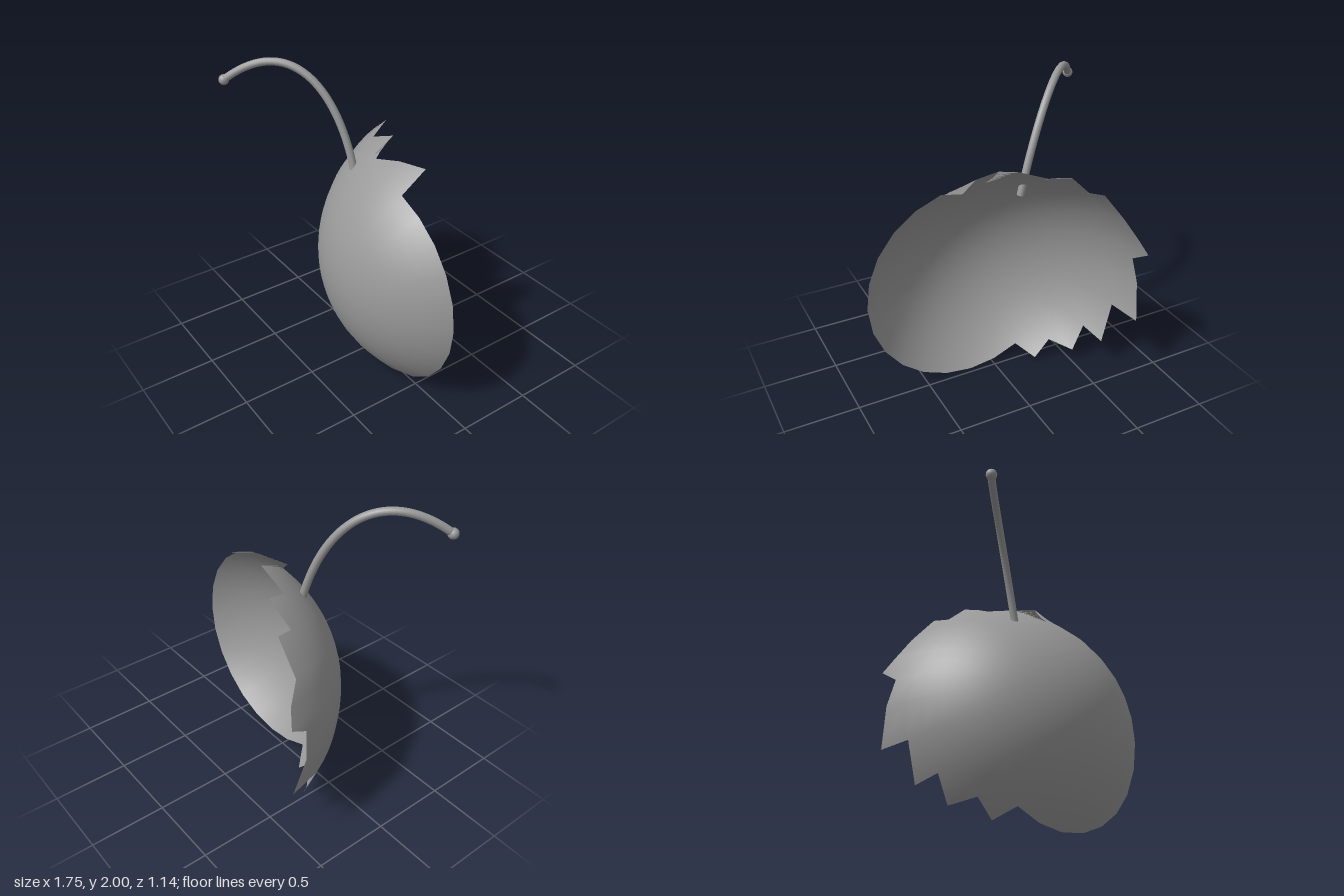
import * as THREE from 'three';

const CX = 0.17, CY = 0.71; // axis of the dome, running along z
const RIM = 0.705, RIM_Z = 0.035;
const BOW = 1.14, REACH = 1.01; // half axes of the dome's curve

// Depth of the dome at distance r from its axis
const domeZ = r => 0.36 - BOW * (1 - Math.sqrt(Math.max(0, 1 - (r / REACH) ** 2)));

// Outline of the shell: jagged broken side, then the clean round rim
function shellOutline() {
  const jagged = [
    [0.305, 1.48, -0.18], [0.17, 1.505, -0.085], [-0.035, 1.475, 0.015],
    [-0.055, 1.555, -0.205], [-0.27, 1.465, -0.205], [-0.335, 1.52, -0.36],
    [-0.49, 1.37, -0.325], [-0.52, 1.4, -0.445], [-0.68, 1.2, -0.445],
    [-0.74, 1.08, -0.53], [-0.8, 0.97, -0.57], [-0.775, 0.89, -0.445],
    [-0.81, 0.71, -0.47], [-0.78, 0.455, -0.54], [-0.735, 0.47, -0.32],
    [-0.64, 0.22, -0.36], [-0.59, 0.27, -0.205], [-0.51, 0.09, -0.205],
    [-0.39, 0.14, -0.08], [-0.28, 0.02, -0.08],
  ];
  // each point carries the angle of the meridian that leads to it
  const pts = jagged.map(([x, y, z], i) => ({ x, y, z, angle: THREE.MathUtils.degToRad(80 + 8 * i) }));
  for (let deg = 240; deg <= 435; deg += 15) {
    const angle = THREE.MathUtils.degToRad(deg);
    pts.push({ x: CX + RIM * Math.cos(angle), y: CY + RIM * Math.sin(angle), z: RIM_Z, angle });
  }
  return pts;
}

function shellGeometry() {
  const outline = shellOutline(), n = outline.length;
  const inner = 0.64, innerRings = 9, outerRings = 7;
  const rings = innerRings + outerRings;
  const pos = [], normals = [], index = [];
  const normal = new THREE.Vector3();
  for (let j = 0; j <= rings; j++) {
    for (const p of outline) {
      // round inner rings, then outer rings that reach out to the broken edge
      const r0 = inner * Math.min(1, j / innerRings);
      const t = Math.max(0, (j - innerRings) / outerRings);
      const dx = THREE.MathUtils.lerp(r0 * Math.cos(p.angle), p.x - CX, t);
      const dy = THREE.MathUtils.lerp(r0 * Math.sin(p.angle), p.y - CY, t);
      const off = p.z - domeZ(Math.hypot(p.x - CX, p.y - CY));
      const r = Math.hypot(dx, dy);
      pos.push(CX + dx, CY + dy, domeZ(r) + off * t ** 3);
      // smooth normal of the unbroken dome
      const height = Math.sqrt(Math.max(0.01, 1 - (r / REACH) ** 2));
      normal.set(dx / REACH ** 2, dy / REACH ** 2, height / BOW).normalize();
      normals.push(normal.x, normal.y, normal.z);
    }
  }
  for (let j = 0; j < rings; j++) {
    for (let i = 0; i < n; i++) {
      const k = (i + 1) % n;
      const a = j * n + i, b = j * n + k, c = a + n, d = b + n;
      if (j > 0) index.push(a, d, b);
      index.push(a, c, d);
    }
  }
  const g = new THREE.BufferGeometry();
  g.setAttribute('position', new THREE.Float32BufferAttribute(pos, 3));
  g.setAttribute('normal', new THREE.Float32BufferAttribute(normals, 3));
  g.setIndex(index);
  return g;
}

export function createModel() {
  const model = new THREE.Group();
  const color = 0x999999;
  const solid = new THREE.MeshStandardMaterial({ color });
  const thin = new THREE.MeshStandardMaterial({ color, side: THREE.DoubleSide });
  const add = (name, geometry, material = solid) => {
    const mesh = new THREE.Mesh(geometry, material);
    mesh.name = name;
    model.add(mesh);
    return mesh;
  };

  // Broken hollow dome
  add('brokenShell', shellGeometry(), thin);

  // Arching stem, its lower end poking through the shell
  const path = new THREE.CubicBezierCurve3(
    new THREE.Vector3(-0.185, 1.285, 0), new THREE.Vector3(-0.32, 1.84, 0.02),
    new THREE.Vector3(-0.58, 2.175, 0.19), new THREE.Vector3(-0.845, 1.845, 0.54));
  const stemRadius = 0.025;
  add('stem', new THREE.TubeGeometry(path, 40, stemRadius, 12));

  // Flat end of the stem inside the shell
  const cap = add('stemEnd', new THREE.CircleGeometry(stemRadius, 12));
  cap.position.copy(path.getPoint(0));
  cap.quaternion.setFromUnitVectors(new THREE.Vector3(0, 0, 1), path.getTangent(0).negate());

  // Ball at the tip
  add('stemTip', new THREE.SphereGeometry(0.034, 16, 12)).position.copy(path.getPoint(1));

  return model;
}
